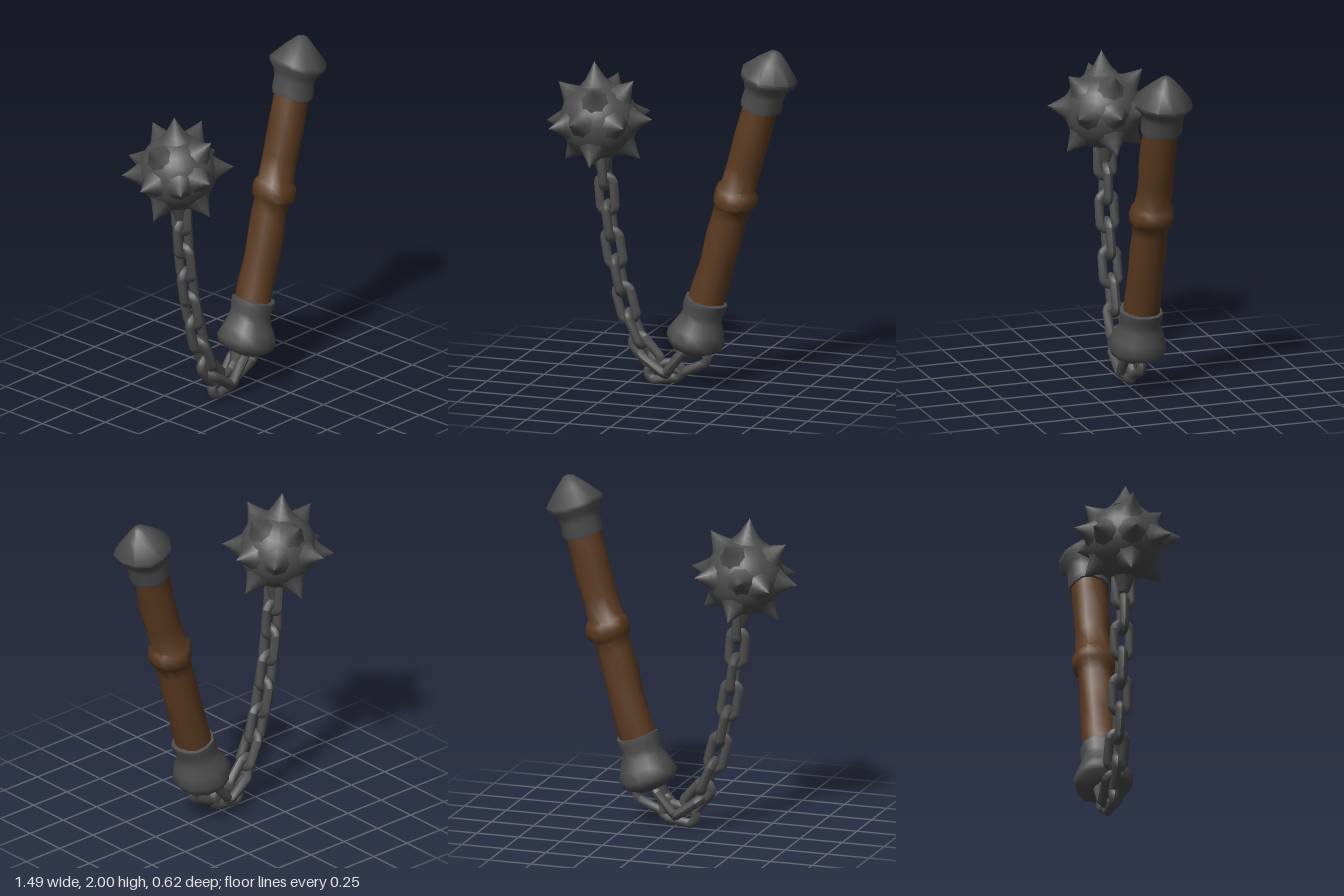
import * as THREE from 'three';
import { mergeVertices, toCreasedNormals } from 'three/addons/utils/BufferGeometryUtils.js';

const iron = new THREE.MeshStandardMaterial({ color: 0x4c4c4c });
iron.name = 'dark iron';
const wood = new THREE.MeshStandardMaterial({ color: 0x5a3a20 });
wood.name = 'brown wood';

function add(parent, name, geometry, material) {
  const mesh = new THREE.Mesh(geometry, material);
  mesh.name = name;
  parent.add(mesh);
  return mesh;
}

// Lathe with slightly uneven, hand-worked walls
function roughLathe(profile, sides, wobble, crease) {
  let g = new THREE.LatheGeometry(profile.map(([r, y]) => new THREE.Vector2(r, y)), sides);
  g.deleteAttribute('normal');
  g.deleteAttribute('uv');
  g = mergeVertices(g, 1e-4);
  const p = g.attributes.position;
  for (let i = 0; i < p.count; i++) {
    const x = p.getX(i), y = p.getY(i), z = p.getZ(i);
    const a = Math.atan2(z, x);
    const s = 1 + wobble * Math.sin(3 * a + 9 * y) * Math.cos(2 * a - 23 * y);
    p.setXYZ(i, x * s, y + wobble * 0.15 * Math.sin(2 * a + 1) * Math.hypot(x, z) / 0.1, z * s);
  }
  return toCreasedNormals(g, crease);
}

// Chain link: a torus with its two halves pulled apart
function linkGeometry() {
  const g = new THREE.TorusGeometry(0.045, 0.028, 8, 16);
  g.rotateZ(Math.PI / 16);
  const p = g.attributes.position;
  for (let i = 0; i < p.count; i++) {
    // decide by the ring angle so each cross-section moves as one
    const side = Math.sign(Math.sin((i % 17 + 0.5) * Math.PI / 8));
    p.setY(i, p.getY(i) + side * 0.056);
  }
  g.computeVertexNormals();
  return g;
}

function buildHandle() {
  const handle = new THREE.Group();
  handle.name = 'handle';
  handle.position.set(0.215, 0.5, 0);
  handle.rotation.z = -0.274;

  const shaft = [[0.104, -0.05], [0.104, 0.1], [0.1, 0.25], [0.104, 0.4], [0.1, 0.52], [0.103, 0.585],
    [0.122, 0.605], [0.128, 0.645], [0.12, 0.69], [0.103, 0.71], [0.1, 0.85], [0.104, 1.0], [0.101, 1.12], [0.1, 1.26]];
  add(handle, 'shaft', roughLathe(shaft, 12, 0.06, 0.9), wood);

  const pommel = [[0.09, 1.2], [0.115, 1.2], [0.121, 1.23], [0.116, 1.29], [0.127, 1.335],
    [0.16, 1.372], [0.166, 1.4], [0.085, 1.49], [0.03, 1.545], [0, 1.555]];
  add(handle, 'topCap', roughLathe(pommel, 12, 0.04, 1.1), iron);

  const socket = [[0, -0.31], [0.09, -0.295], [0.155, -0.262], [0.17, -0.22], [0.15, -0.16], [0.122, -0.1],
    [0.115, -0.06], [0.124, -0.02], [0.123, 0.015], [0.095, 0.02]];
  add(handle, 'bottomCap', roughLathe(socket, 12, 0.04, 1.1), iron);
  return handle;
}

function buildBall() {
  const ball = new THREE.Group();
  ball.name = 'spikedBall';
  ball.position.set(-0.42, 1.505, 0);
  ball.rotation.z = 0.09;
  add(ball, 'ballBody', new THREE.SphereGeometry(0.22, 24, 16), iron);

  // Flared spike, tip at 0.315 from the centre
  const spike = new THREE.LatheGeometry([[0.095, 0.19], [0.062, 0.22], [0.042, 0.25], [0.02, 0.285], [0, 0.318]]
    .map(([r, y]) => new THREE.Vector2(r, y)), 8);
  const up = new THREE.Vector3(0, 1, 0);
  // One spike per axis and per diagonal between axes
  for (let x = -1; x <= 1; x++) for (let y = -1; y <= 1; y++) for (let z = -1; z <= 1; z++) {
    const n = Math.abs(x) + Math.abs(y) + Math.abs(z);
    if (n === 0 || n === 3 || (y === -1 && n === 1)) continue;
    const d = new THREE.Vector3(x, y, z);
    if (x === 0 && y === 0) d.set(-0.22, 0.12, z);
    if (x === 0 && y === 1 && z !== 0) d.x = 0.25;
    const m = add(ball, 'spike', spike, iron);
    m.quaternion.setFromUnitVectors(up, d.normalize());
    if (y === 1 && n === 1) m.scale.y = 1.07;
  }

  // Tapered stem that carries the chain
  const stem = add(ball, 'ballStem', new THREE.CylinderGeometry(0.07, 0.035, 0.11, 10), iron);
  stem.position.y = -0.245;
  return ball;
}

function buildChain() {
  const chain = new THREE.Group();
  chain.name = 'chain';
  const g = linkGeometry();
  // x, y and lean of each link; every other link is turned edge-on
  const links = [
    [-0.388, 1.225, 0.06], [-0.375, 1.08, 0.08], [-0.356, 0.925, 0.13], [-0.333, 0.77, 0.17],
    [-0.302, 0.615, 0.2], [-0.26, 0.46, 0.26], [-0.203, 0.315, 0.42], [-0.14, 0.19, 0.72],
    [-0.09, 0.125, 0.95], [-0.03, 0.083, -1.4], [0.045, 0.15, -0.7], [0.125, 0.155, -1.15],
  ];
  links.forEach(([x, y, lean], i) => {
    const link = add(chain, 'chainLink', g, iron);
    link.position.set(x, y, 0);
    link.rotation.set(0, i % 2 === 0 ? Math.PI / 2 : 0, lean, 'ZYX');
  });

  // Stem joining the chain to the bottom cap
  const stem = add(chain, 'handleStem', new THREE.CylinderGeometry(0.075, 0.035, 0.12, 10), iron);
  stem.position.set(0.1, 0.225, 0);
  stem.rotation.z = -0.6;
  return chain;
}

export function createModel() {
  const model = new THREE.Group();
  model.name = 'flail';
  model.add(buildHandle(), buildBall(), buildChain());
  return model;
}
